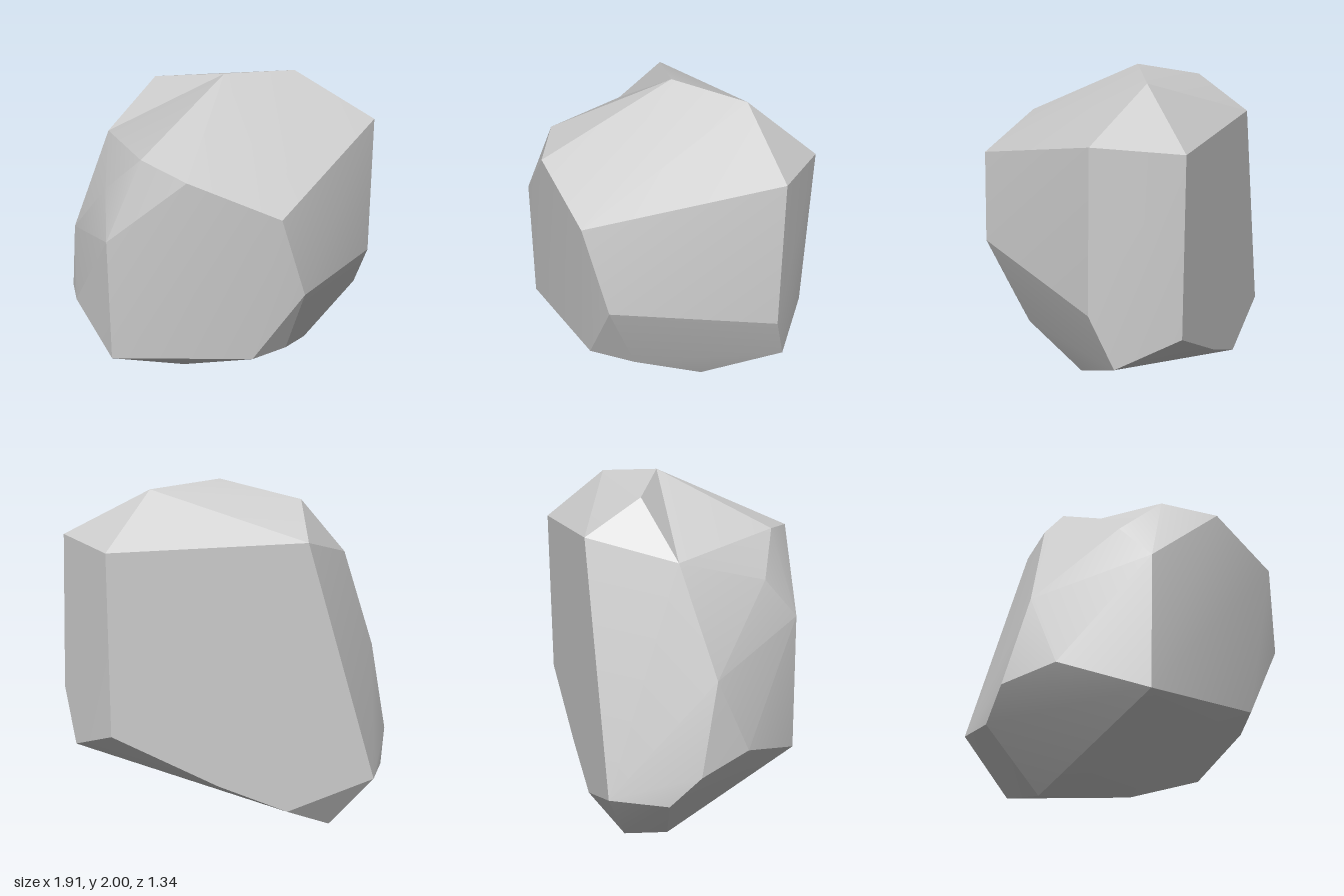
import * as THREE from 'three';
import { ConvexGeometry } from 'three/addons/geometries/ConvexGeometry.js';
import { toCreasedNormals } from 'three/addons/utils/BufferGeometryUtils.js';

const v = (x, y, z) => new THREE.Vector3(x, y, z);

// Corners shared by the boulder and the chunk on its crown
const peak = v(0.04, 2.0, -0.14);
const crownLeft = v(0.44, 1.96, -0.36);
const shoulder = v(-0.67, 1.59, -0.24);
const backRim = v(-0.38, 1.7, -0.67);

const crown = [peak, crownLeft, shoulder, backRim];

const frontFace = [
  v(0.4, 1.49, 0.67), v(-0.1, 1.66, 0.62), v(-0.57, 1.22, 0.49),
  v(-0.58, 0.43, 0.49), v(0.26, 0.53, 0.57), v(0.54, 1.0, 0.6),
];

const leftSide = [
  v(0.92, 1.71, -0.25), v(0.95, 0.83, -0.25), v(0.89, 0.52, -0.37),
  v(0.57, 0.3, -0.02), v(0.45, 0.49, 0.38),
];

const rightSide = [
  v(-0.37, 1.69, 0.41), v(-0.6, 1.45, 0.28), v(-0.89, 1.0, -0.1),
  v(-0.87, 0.58, 0.09), v(-0.96, 0.5, -0.21), v(-0.9, 0.33, -0.37),
];

const flatBack = [
  v(0.68, 1.66, -0.67), v(0.68, 0.66, -0.67), v(0.1, 0.35, -0.67),
  v(-0.29, 0.18, -0.67), v(-0.78, 0.36, -0.67),
];

const underside = [
  v(-0.16, 0.33, 0.38), v(-0.05, 0.07, -0.07),
  v(-0.57, 0, -0.28), v(-0.56, 0.03, -0.53),
];

export function createModel() {
  const group = new THREE.Group();
  group.name = 'rock';
  const stone = new THREE.MeshStandardMaterial({ color: 0xcccccc });

  const addStone = (name, points) => {
    const geometry = toCreasedNormals(new ConvexGeometry(points), 0.3);
    const mesh = new THREE.Mesh(geometry, stone);
    mesh.name = name;
    group.add(mesh);
  };

  // Main faceted body
  addStone('boulder', [...crown, ...frontFace, ...leftSide, ...rightSide, ...flatBack, ...underside]);

  // Raised chunk behind the top ridge, leaving a shallow notch in front of it
  addStone('crownChunk', [...crown, v(-0.39, 1.9, -0.36)]);

  return group;
}
